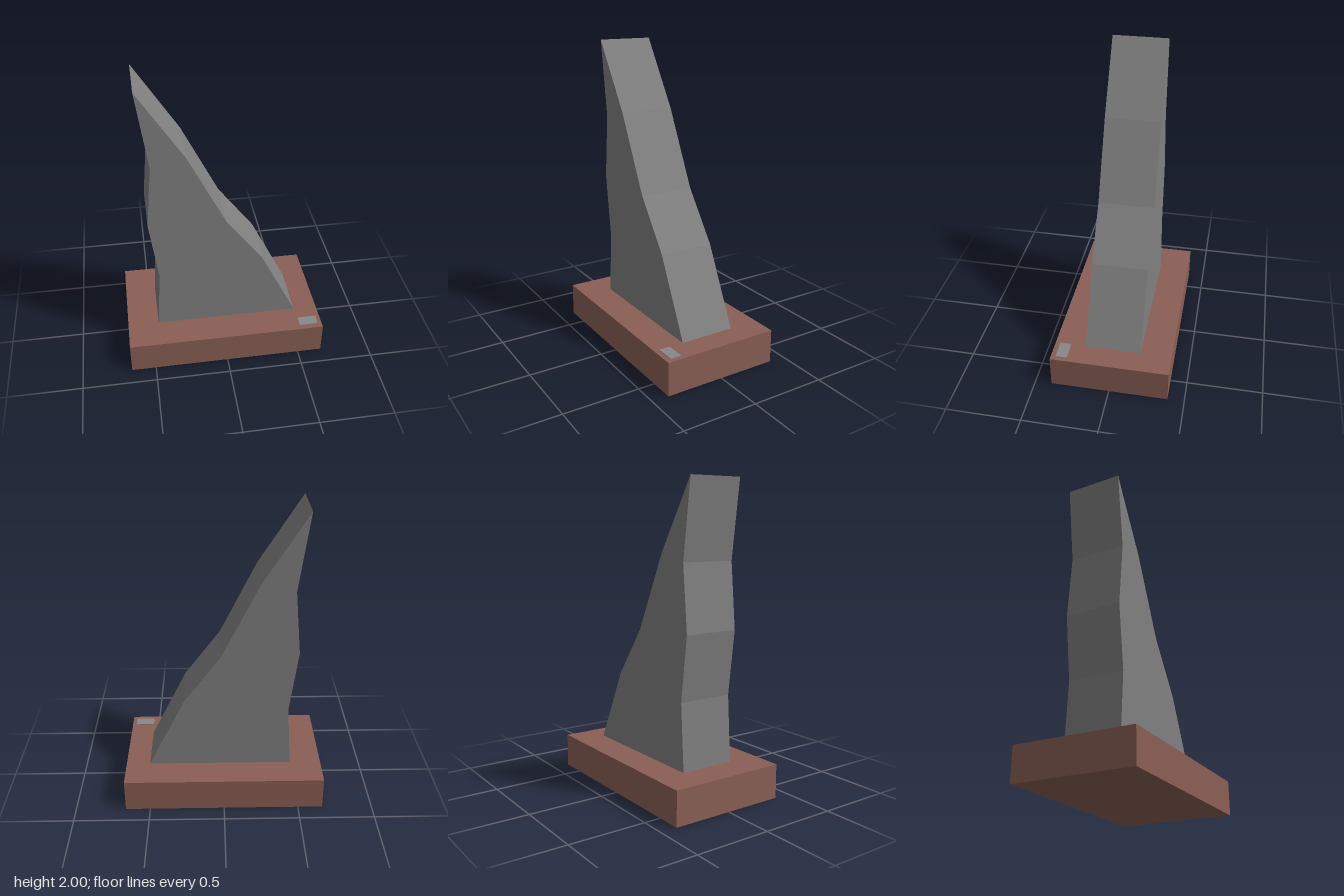
import * as THREE from 'three';

export function createModel() {
  const group = new THREE.Group();
  const stone = new THREE.MeshStandardMaterial({ name: 'stone grey', color: 0x808080 });
  const wood = new THREE.MeshStandardMaterial({ name: 'reddish brown', color: 0x8a5f55 });
  const metal = new THREE.MeshStandardMaterial({ name: 'plate grey', color: 0x888888 });

  const addBox = (name, size, position, material) => {
    const mesh = new THREE.Mesh(new THREE.BoxGeometry(...size), material);
    mesh.name = name;
    mesh.position.set(...position);
    group.add(mesh);
  };

  // Plinth and the small plate on its front left corner
  const baseTop = 0.223;
  addBox('plinth', [1.33, baseTop, 0.78], [0, baseTop / 2, 0], wood);
  addBox('plate', [0.127, 0.006, 0.074], [0.573, baseTop + 0.002, 0.32], metal);

  // Jagged fin: an angular outline extruded front to back
  const outline = [
    [-0.455, baseTop], [0.505, baseTop], [0.26, 0.725], [0.02, 1.05],
    [-0.225, 1.55], [-0.51, 2], [-0.443, 1.5], [-0.482, 1.075], [-0.428, 0.655],
  ];
  const depth = 0.37;
  const shape = new THREE.Shape(outline.map(([x, y]) => new THREE.Vector2(x, y)));
  const geometry = new THREE.ExtrudeGeometry(shape, { depth, bevelEnabled: false });
  geometry.translate(0, 0, -depth / 2);
  const fin = new THREE.Mesh(geometry, stone);
  fin.name = 'fin';
  group.add(fin);

  return group;
}
